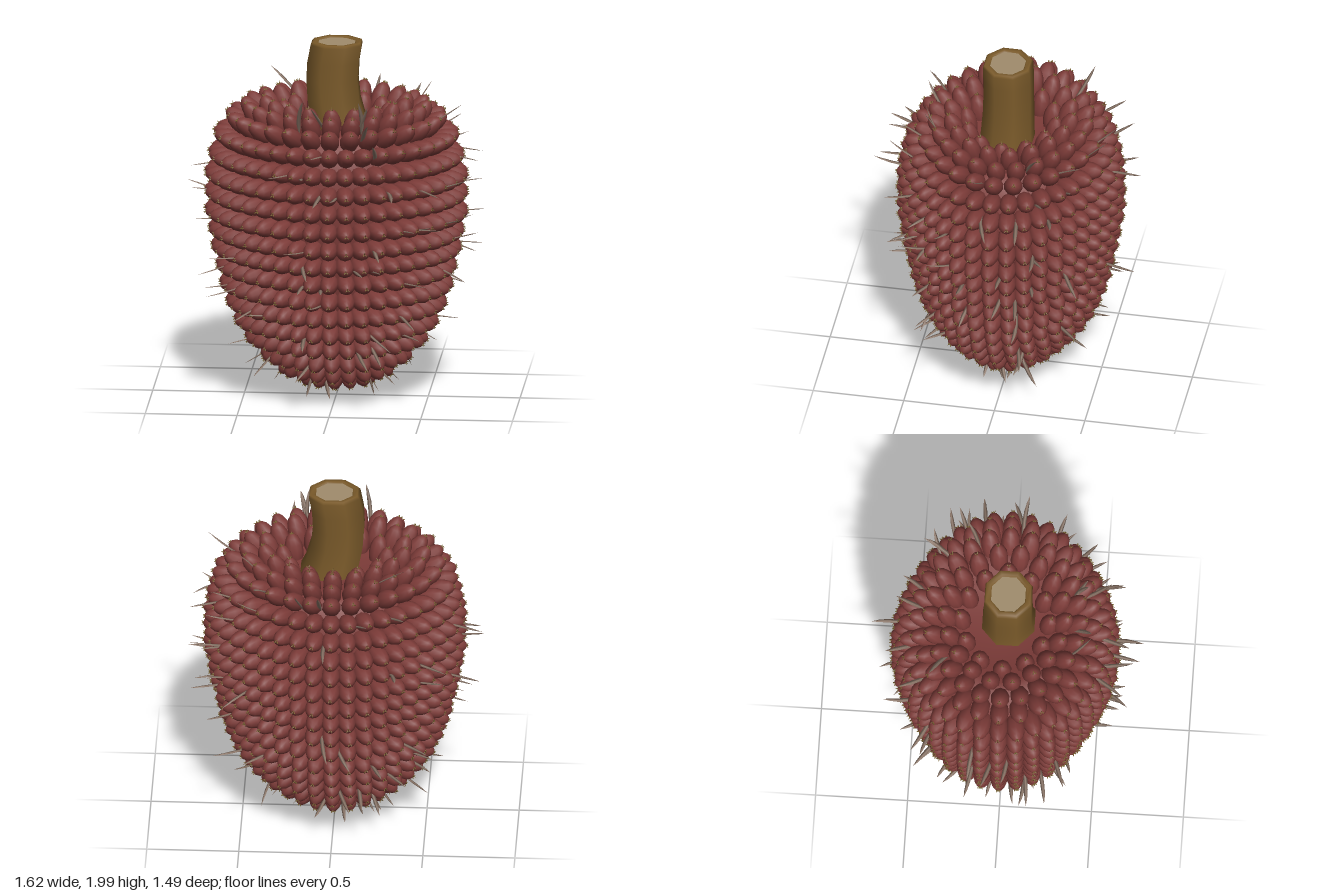
import * as THREE from 'three';
import { mergeGeometries } from 'three/addons/utils/BufferGeometryUtils.js';

const DEPTH = 0.87; // the fruit is narrower in z than in x
const rad = THREE.MathUtils.degToRad;

// Rings of drupes, top to bottom: tip radius, tip height, tilt above horizontal, count
const RINGS = [
  [0.29, 1.66, 82, 12], [0.40, 1.70, 70, 18], [0.51, 1.67, 55, 24], [0.60, 1.60, 36, 28],
  [0.67, 1.49, 18, 36], [0.70, 1.37, 6, 40], [0.72, 1.26, 2, 40], [0.72, 1.155, 0, 40],
  [0.72, 1.05, 0, 40], [0.70, 0.945, -1, 40], [0.685, 0.845, -3, 40], [0.66, 0.74, -6, 36],
  [0.64, 0.635, -9, 36], [0.605, 0.53, -12, 36], [0.56, 0.425, -16, 32], [0.50, 0.325, -23, 28],
  [0.41, 0.22, -36, 24], [0.31, 0.135, -50, 18], [0.20, 0.08, -65, 12], [0.09, 0.055, -80, 5],
];

let seed = 7;
function random() {
  seed = (seed * 16807) % 2147483647;
  return seed / 2147483647;
}
const spread = (amount) => (random() - 0.5) * 2 * amount;

function lathe(points, sides, start = 0) {
  return new THREE.LatheGeometry(points.map(([x, y]) => new THREE.Vector2(x, y)), sides, start);
}

function addMesh(group, name, geometry, color, options = {}) {
  const mesh = new THREE.Mesh(geometry, new THREE.MeshStandardMaterial({ color, ...options }));
  mesh.name = name;
  group.add(mesh);
}

// The oval outline is slightly drawn in on the diagonals
const squeeze = (phi) => 1 - 0.03 * Math.sin(2 * phi) ** 2;

// Angle of a numbered place on a ring, evened out along the oval and starting at the front
function ringAngle(ring, i) {
  const t = Math.PI / 2 + i / ring[3] * Math.PI * 2;
  return t - 0.04 * Math.sin(2 * t);
}

// Matrix putting the origin on a ring's tip oval, with +y outward and x along the ring
function placeOnRing([r, y, tilt], phi, turn = 0, lift = 0) {
  const c = Math.cos(phi), s = Math.sin(phi);
  const reach = r * squeeze(phi) / Math.hypot(c, s / DEPTH);
  const e = rad(tilt) + lift;
  const out = new THREE.Vector3(
    Math.cos(phi + turn) * Math.cos(e), Math.sin(e), Math.sin(phi + turn) * Math.cos(e));
  const along = new THREE.Vector3(-Math.sin(phi + turn), 0, Math.cos(phi + turn));
  return new THREE.Matrix4()
    .makeBasis(along, out, along.clone().cross(out))
    .setPosition(reach * c, y, reach * s);
}

// Flat blade-like bristle growing along +y, bowed by a rule
function bristle(length, bow) {
  const g = lathe([[0.007, 0], [0.011, 0.4 * length], [0.011, 0.65 * length],
    [0.007, 0.85 * length], [0, length]], 4);
  const p = g.attributes.position;
  for (let i = 0; i < p.count; i++) {
    const t = p.getY(i) / length;
    p.setXYZ(i, p.getX(i) + bow * t * t, p.getY(i), p.getZ(i) * 0.3 + bow * 0.4 * t * t);
  }
  g.computeVertexNormals();
  return g;
}

function createModel() {
  const model = new THREE.Group();
  model.name = 'compoundFruit';

  // Core under the drupes, with a dished top
  const profile = RINGS.map(([r, y, tilt]) =>
    [Math.max(r - 0.14 * Math.cos(rad(tilt)), 0.05), y - 0.14 * Math.sin(rad(tilt))]).reverse();
  const core = lathe([[0, 0.19], ...profile, [0.12, 1.51], [0, 1.5]], 40);
  const corners = core.attributes.position;
  for (let i = 0; i < corners.count; i++) {
    const x = corners.getX(i), z = corners.getZ(i) * DEPTH;
    const k = squeeze(Math.atan2(z, x));
    corners.setXYZ(i, x * k, corners.getY(i), z * k);
  }
  addMesh(model, 'core', core, 0x7c3b38);

  // One blunt egg-shaped drupe, its tip at the origin
  const drupe = lathe([[0, -0.215], [0.027, -0.2], [0.046, -0.155], [0.052, -0.11],
    [0.048, -0.064], [0.034, -0.027], [0.016, -0.008], [0, -0.004]], 10);

  // Three small withered points at a drupe's tip
  const points = [0, 1, 2].map((i) => {
    const g = new THREE.ConeGeometry(0.007, 0.02, 5);
    g.rotateX(0.5);
    g.translate(0, -0.003, 0.008);
    return g.rotateY(i * Math.PI * 2 / 3);
  });
  const crown = mergeGeometries(points);

  const drupes = [], crowns = [];
  for (const ring of RINGS) {
    for (let i = 0; i < ring[3]; i++) {
      const m = placeOnRing(ring, ringAngle(ring, i));
      drupes.push(drupe.clone().applyMatrix4(m));
      crowns.push(crown.clone().applyMatrix4(m));
    }
  }
  addMesh(model, 'drupes', mergeGeometries(drupes), 0x7c3b38);
  addMesh(model, 'drupeTips', mergeGeometries(crowns), 0x7a6433);

  // Bristles growing out between the drupes, in the lowest rings held short of the ground
  const bristles = [];
  for (let k = 0; k < 102; k++) {
    const row = 2 + k % 17;
    const ring = RINGS[row];
    const slot = Math.floor(random() * ring[3]) + 0.5;
    const m = placeOnRing(ring, ringAngle(ring, slot), spread(0.3), spread(0.3));
    const length = row > 16 ? 0.18 + random() * 0.02 : 0.2 + random() * 0.06;
    const g = bristle(length, spread(0.05));
    g.translate(0, -0.13, 0);
    bristles.push(g.applyMatrix4(m));
  }
  addMesh(model, 'bristles', mergeGeometries(bristles), 0x8a7567, { side: THREE.DoubleSide });

  // Eight-sided stalk, bent sideways by a parabola, with a pale cut end
  const bend = (g) => {
    const p = g.attributes.position;
    for (let i = 0; i < p.count; i++) {
      const y = p.getY(i);
      p.setXYZ(i, p.getX(i) * 1.07 - 0.02 + 0.65 * (y - 1.8) ** 2, y, p.getZ(i) + 0.017);
    }
    return g;
  };
  const stalk = lathe([[0.16, 1.46], [0.148, 1.57], [0.142, 1.68], [0.14, 1.79],
    [0.14, 1.89], [0.139, 1.985], [0.13, 2], [0.108, 2], [0.1, 1.992]], 8, Math.PI / 8);
  addMesh(model, 'stalk', bend(stalk), 0x7a5a2a);
  const cut = new THREE.CircleGeometry(0.102, 8, Math.PI / 8);
  cut.rotateX(-Math.PI / 2);
  cut.translate(0, 1.992, 0);
  addMesh(model, 'stalkCut', bend(cut), 0xa08c6c);

  return model;
}

export { createModel };
